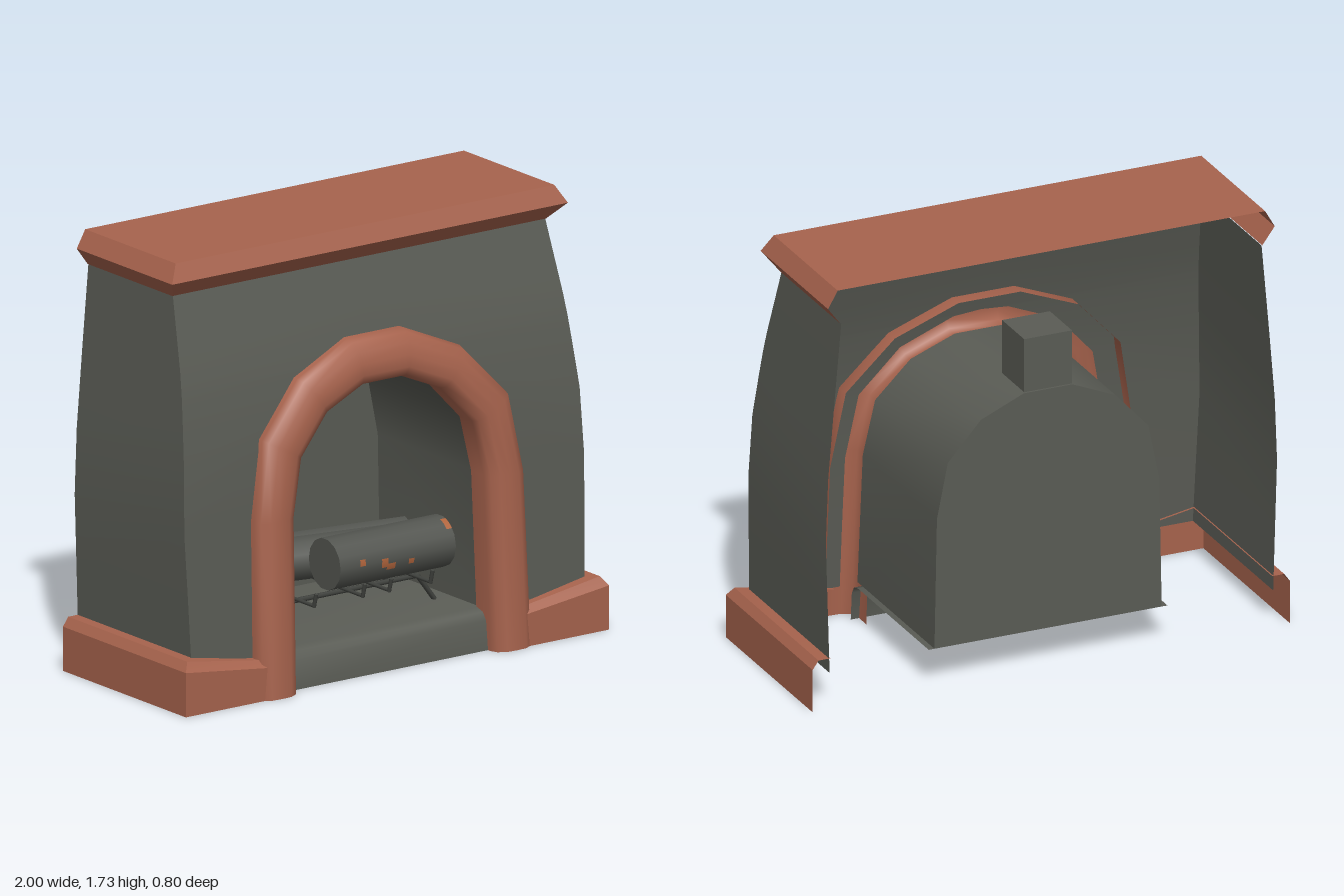
import * as THREE from 'three';
import { toCreasedNormals } from 'three/addons/utils/BufferGeometryUtils.js';

const BACK = -0.4, FLOOR = 0.155, BOX_BACK = -0.37;

function paint(name, color) {
  const m = new THREE.MeshStandardMaterial({ color, side: THREE.DoubleSide });
  m.name = name;
  return m;
}

// Piecewise linear lookup in [[t, value], ...]
function lerpTable(table, t) {
  for (let i = 1; i < table.length; i++) {
    const [t0, v0] = table[i - 1], [t1, v1] = table[i];
    if (t <= t1 || i === table.length - 1) return v0 + (v1 - v0) * (t - t0) / (t1 - t0);
  }
}

// Surface through rows of [x, y, z] points
function loft(rows, crease = 0.7) {
  const n = rows[0].length, index = [];
  for (let r = 0; r < rows.length - 1; r++) {
    for (let c = 0; c < n - 1; c++) {
      const a = r * n + c, b = a + n;
      index.push(a, a + 1, b, b, a + 1, b + 1);
    }
  }
  const g = new THREE.BufferGeometry();
  g.setAttribute('position', new THREE.Float32BufferAttribute(rows.flat(2), 3));
  g.setIndex(index);
  g.computeVertexNormals();
  return toCreasedNormals(g, crease);
}

// Body half-width and front depth by height
const bodyWidth = y => lerpTable([[0, 0.925], [0.2, 0.93], [0.7, 0.945], [0.95, 0.935], [1.25, 0.91], [1.59, 0.88]], y);
const bodyFront = y => lerpTable([[0, 0.33], [0.2, 0.325], [0.7, 0.3], [0.95, 0.285], [1.2, 0.245], [1.31, 0.22], [1.59, 0.14]], y);

// Outer and inner outline of the arch, right half then mirrored
const mirrorPath = p => [...p, ...p.map(([x, y]) => [-x, y]).reverse()];
const outer = mirrorPath([[0.645, 0], [0.63, 0.69], [0.575, 1.0], [0.385, 1.205], [0.13, 1.315]]);
const inner = mirrorPath([[0.465, 0], [0.455, 0.69], [0.41, 0.91], [0.275, 1.06], [0.1, 1.135]]);
const between = s => outer.map(([ox, oy], i) => {
  const [ix, iy] = inner[i];
  return [ix + (ox - ix) * s, iy + (oy - iy) * s];
});

export function createModel() {
  const model = new THREE.Group();
  const stone = paint('dark stone', 0x5a5c55);
  const brick = paint('terracotta', 0xa7634d);
  const bark = paint('charred wood', 0x535550);
  const iron = paint('iron', 0x41433f);
  const ember = paint('ember', 0xb0643c);

  const add = (name, geometry, material, parent = model) => {
    const mesh = new THREE.Mesh(geometry, material);
    mesh.name = name;
    parent.add(mesh);
    return mesh;
  };

  // Body shell with its opening, and plinth, one half at a time
  const opening = [[0.15, 0.55], [0.4, 0.546], [0.69, 0.54], [0.95, 0.49], [1.13, 0.33], [1.225, 0.115],
    [1.235, 0], [1.31, 0], [1.45, 0], [1.59, 0]];
  const plinth = [[0, 0], [0, 0.175], [0.025, 0.21], [0.075, 0.21]];
  for (const [side, s] of [['left', 1], ['right', -1]]) {
    add(side + 'Body', loft(opening.map(([y, a]) => {
      const w = bodyWidth(y), z = bodyFront(y);
      return [[s * a, y, z], [s * w, y, z], [s * w, y, BACK]];
    })), stone);
    add(side + 'Plinth', loft(plinth.map(([inset, y]) => {
      const x = 1 - inset, z = 0.385 - inset;
      return [[s * 0.58, y * 0.71, z], [s * x, y, z], [s * x, y, BACK]];
    }), 0.5), brick);
  }

  // Mantel shelf: bevelled rim on three sides and a flat top
  const rim = [[1.59, 0.883, 0.14], [1.66, 0.935, 0.21], [1.73, 0.895, 0.178]];
  add('mantelRim', loft(rim.map(([y, w, z]) =>
    [[-w, y, BACK], [-w, y, z], [w, y, z], [w, y, BACK]]), 0.3), brick);
  add('mantelTop', loft([[[-0.895, 1.73, BACK], [0.895, 1.73, BACK]],
    [[-0.895, 1.73, 0.178], [0.895, 1.73, 0.178]]]), brick);

  // Arch surround: rounded profile [across, depth] following the leaning front
  const profile = [[0, -0.06], [0, 0.02], [0.06, 0.05], [0.25, 0.07], [0.5, 0.073],
    [0.75, 0.07], [0.94, 0.05], [1, 0.02], [1, -0.06]];
  add('archSurround', loft(profile.map(([across, depth]) =>
    between(across).map(([x, y]) => [x, y, bodyFront(y) + depth])), 1.0), brick);

  // Firebox: vault, back wall, floor and flue
  const vault = between(0.06).map(([x, y]) => [x, Math.max(y, FLOOR)]);
  add('fireboxVault', loft([
    vault.map(([x, y]) => [x, y, BOX_BACK]),
    vault.map(([x, y]) => [x, y, bodyFront(y)]),
  ]), stone);
  const backWall = new THREE.ShapeGeometry(new THREE.Shape(vault.map(p => new THREE.Vector2(...p))));
  add('fireboxBack', backWall, stone).position.z = BOX_BACK;
  add('hearthFloor', loft([[BOX_BACK, FLOOR], [0.27, FLOOR], [0.305, 0.145], [0.325, 0.115], [0.335, 0]]
    .map(([z, y]) => [[-0.5, y, z], [0.5, y, z]]), 0.9), stone);
  add('flue', new THREE.BoxGeometry(0.2, 0.22, 0.2), stone).position.set(0, 1.26, BOX_BACK + 0.1);

  // Rod between two points, used for logs and grate
  const up = new THREE.Vector3(0, 1, 0);
  const rod = (name, from, to, r, sides, material, parent) => {
    const a = new THREE.Vector3(...from), b = new THREE.Vector3(...to);
    const mesh = add(name, new THREE.CylinderGeometry(r, r, a.distanceTo(b), sides), material, parent);
    mesh.position.copy(a).add(b).multiplyScalar(0.5);
    mesh.quaternion.setFromUnitVectors(up, b.sub(a).normalize());
    return mesh;
  };

  // Logs
  const logs = new THREE.Group();
  logs.name = 'logs';
  model.add(logs);
  rod('frontLog', [-0.155, 0.4, 0.13], [0.39, 0.4, 0.13], 0.102, 14, bark, logs);
  rod('middleLog', [-0.32, 0.375, -0.1], [0.28, 0.375, 0.02], 0.085, 10, bark, logs);
  rod('backLog', [-0.44, 0.395, -0.2], [0.435, 0.36, -0.16], 0.06, 8, bark, logs);

  // Ember patches wrapped on the front log: x, angle up from the front, length, arc
  for (const [x, angle, length, arc] of [[-0.05, 0.1, 0.025, 0.25], [0.055, -0.08, 0.03, 0.35],
    [0.085, -0.25, 0.04, 0.25], [0.18, -0.2, 0.025, 0.2], [0.375, 0.95, 0.025, 0.5]]) {
    const patch = add('emberPatch', new THREE.CylinderGeometry(0.104, 0.104, length, 4, 1, true, -arc / 2, arc), ember, logs);
    patch.rotation.set(-angle, 0, Math.PI / 2);
    patch.position.set(x, 0.4, 0.13);
  }

  // Grate: two bent frames and four cross bars with upturned tips
  const grate = new THREE.Group();
  grate.name = 'grate';
  model.add(grate);
  for (const z of [0.08, -0.22]) {
    const bend = [[-0.4, FLOOR], [-0.32, 0.262], [0.32, 0.262], [0.4, FLOOR]];
    for (let i = 0; i < 3; i++) rod('grateFrame', [...bend[i], z], [...bend[i + 1], z], 0.01, 6, iron, grate);
  }
  for (const x of [-0.28, -0.05, 0.075, 0.27]) {
    rod('grateBar', [x, 0.28, -0.27], [x, 0.28, 0.23], 0.008, 6, iron, grate);
    rod('grateTip', [x, 0.275, 0.23], [x, 0.33, 0.245], 0.008, 6, iron, grate);
  }

  return model;
}
